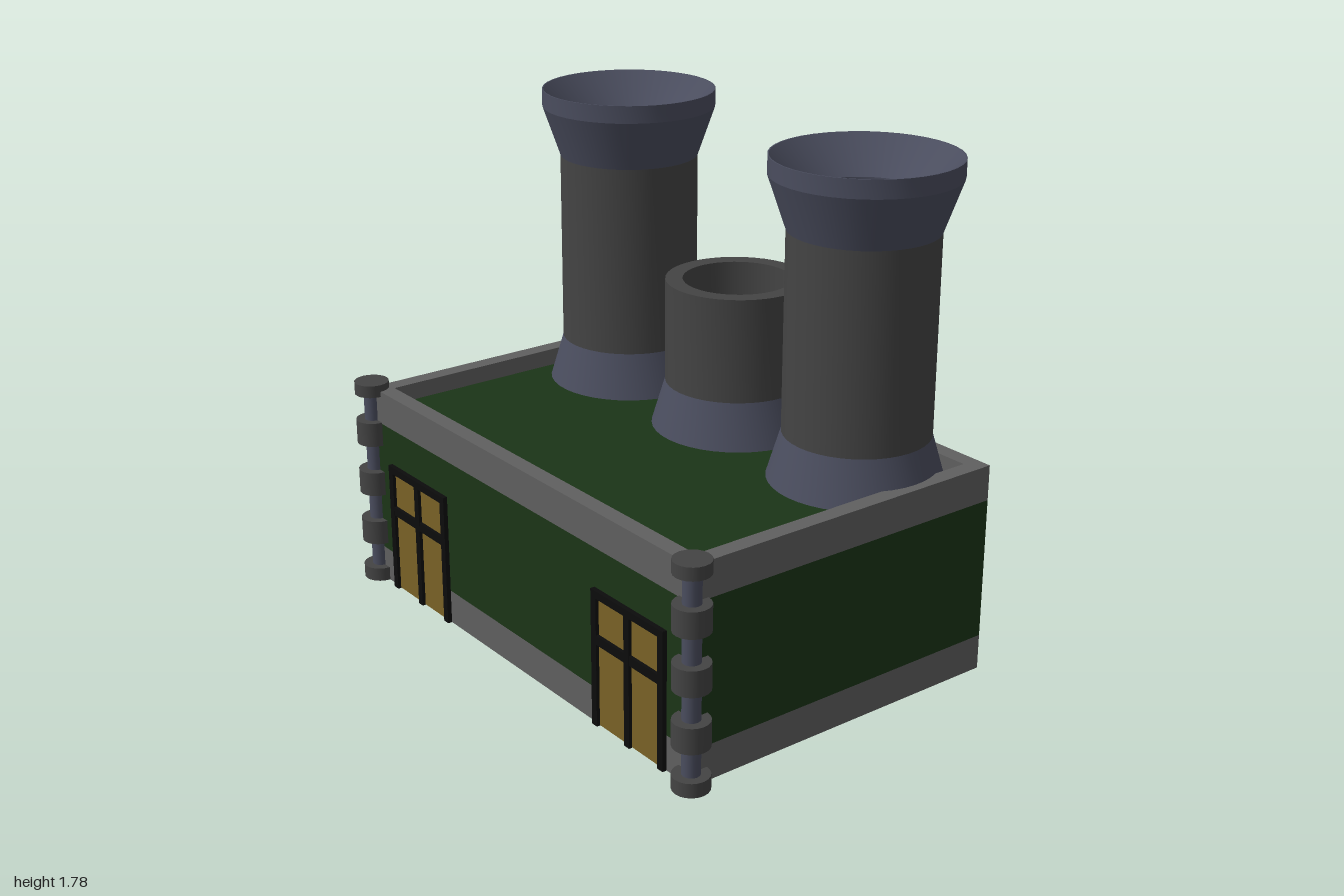
import * as THREE from 'three';
import { toCreasedNormals } from 'three/addons/utils/BufferGeometryUtils.js';

const mat = (color) => new THREE.MeshStandardMaterial({ color });

export function createModel() {
  const model = new THREE.Group();
  const stone = mat(0x606060), green = mat(0x1b3517), iron = mat(0x444444);
  const steel = mat(0x4a4d5e), gold = mat(0x7a6226), black = mat(0x0c0c0c);

  const add = (parent, name, geometry, material, x = 0, y = 0, z = 0) => {
    const mesh = new THREE.Mesh(geometry, material);
    mesh.name = name;
    mesh.position.set(x, y, z);
    parent.add(mesh);
    return mesh;
  };
  // Box given by its limits on each axis
  const box = (parent, name, material, x0, x1, y0, y1, z0, z1) =>
    add(parent, name, new THREE.BoxGeometry(x1 - x0, y1 - y0, z1 - z0), material,
      (x0 + x1) / 2, (y0 + y1) / 2, (z0 + z1) / 2);
  // Closed ring profile of [radius, height] pairs: up the outside, down the inside
  const ring = (parent, name, material, profile) => {
    const points = [...profile, profile[0]].map(([r, y]) => new THREE.Vector2(r, y));
    return add(parent, name, toCreasedNormals(new THREE.LatheGeometry(points, 40), 0.25), material);
  };

  // Building
  const W = 0.9375, back = -0.655, front = 0.592, rim = 0.06, roofY = 0.688;
  box(model, 'plinth', stone, -W, W, 0, 0.125, back, front);
  box(model, 'walls', green, -W, W, 0.125, 0.625, back, front);
  box(model, 'roof', green, -W + rim, W - rim, 0.625, roofY, back + rim, front - rim);

  // Parapet around the sunken roof
  const rect = (path, x, z0, z1) =>
    path.moveTo(-x, -z0).lineTo(x, -z0).lineTo(x, -z1).lineTo(-x, -z1).closePath();
  const outline = rect(new THREE.Shape(), W, front, back);
  outline.holes.push(rect(new THREE.Path(), W - rim, front - rim, back + rim));
  const parapet = new THREE.ExtrudeGeometry(outline, { depth: 0.125, bevelEnabled: false });
  parapet.rotateX(-Math.PI / 2);
  add(model, 'parapet', parapet, stone, 0, 0.625, 0);

  // Chimneys: pipe and flared foot, with a funnel on the tall ones
  const R = 0.25, bore = 0.19;
  const chimney = (name, x, top, funnel) => {
    const group = new THREE.Group();
    group.name = name;
    group.position.set(x, 0, -0.345);
    model.add(group);
    ring(group, 'foot', steel, [[0.298, roofY], [R, 0.85], [R - 0.02, 0.85], [R - 0.02, roofY]]);
    ring(group, 'pipe', iron, [[R, 0.85], [R, top], [bore, top], [bore, roofY], [R - 0.01, roofY], [R - 0.01, 0.85]]);
    if (funnel) {
      ring(group, 'funnel', steel,
        [[R, top], [0.3125, 1.72], [0.3125, 1.782], [0.308, 1.782], [bore, 1.66], [bore, top]]);
    }
  };
  chimney('leftChimney', 0.625, 1.54, true);
  chimney('rightChimney', -0.625, 1.54, true);
  chimney('middleChimney', 0, 1.22, false);

  for (const side of [1, -1]) {
    const label = side > 0 ? 'left' : 'right';

    // Corner column with stacked collars
    const column = new THREE.Group();
    column.name = label + 'Column';
    column.position.set(side * W, 0, front);
    model.add(column);
    add(column, 'shaft', new THREE.CylinderGeometry(0.031, 0.031, 0.74, 16), steel, 0, 0.385, 0);
    for (const [y0, y1] of [[0, 0.05], [0.15, 0.24], [0.345, 0.435], [0.54, 0.63], [0.73, 0.775]]) {
      add(column, 'collar', new THREE.CylinderGeometry(0.0625, 0.0625, y1 - y0, 20), iron, 0, (y0 + y1) / 2, 0);
    }

    // Glazed double door
    const door = new THREE.Group();
    door.name = label + 'Door';
    door.position.set(side * 0.628, 0, front);
    model.add(door);
    box(door, 'panel', gold, -0.18, 0.18, 0.002, 0.48, -0.01, 0.004);
    for (const x of [-0.174, 0, 0.174]) {
      box(door, 'upright', black, x - 0.0135, x + 0.0135, 0, 0.487, -0.01, 0.016);
    }
    box(door, 'crossbar', black, -0.18, 0.18, 0.297, 0.33, -0.01, 0.015);
    box(door, 'lintel', black, -0.187, 0.187, 0.461, 0.488, -0.01, 0.0165);
  }
  return model;
}
